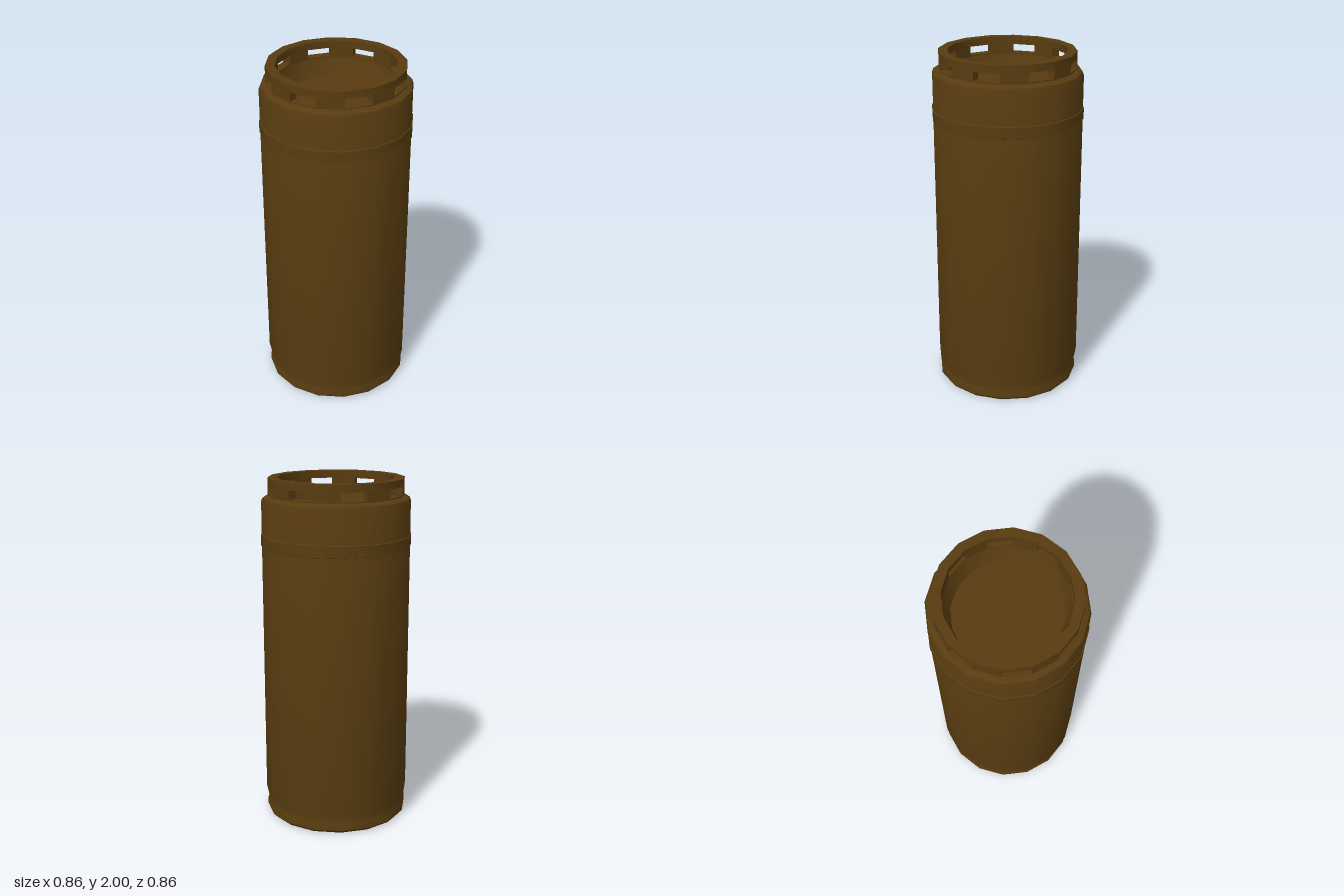
import * as THREE from 'three';
import { toCreasedNormals } from 'three/addons/utils/BufferGeometryUtils.js';

const SIDES = 16;
const STEP = (Math.PI * 2) / SIDES;
const RING_IN = 0.335, RING_OUT = 0.387;

// Turned part from [radius, height] pairs, listed outward and up
function turned(points) {
  const profile = points.map(([r, y]) => new THREE.Vector2(r, y));
  return toCreasedNormals(new THREE.LatheGeometry(profile, SIDES), 0.6);
}

// Wedge block of the collar spanning one side of the polygon
function wedge(start, y0, y1) {
  const at = (r, a) => new THREE.Vector2(r * Math.sin(a), -r * Math.cos(a));
  const end = start + STEP;
  const shape = new THREE.Shape([at(RING_IN, start), at(RING_OUT, start), at(RING_OUT, end), at(RING_IN, end)]);
  const geometry = new THREE.ExtrudeGeometry(shape, { depth: y1 - y0, bevelEnabled: false });
  return geometry.rotateX(-Math.PI / 2).translate(0, y0, 0);
}

export function createModel() {
  const model = new THREE.Group();
  model.name = 'keg';
  const brown = new THREE.MeshStandardMaterial({ color: 0x583c10 });
  brown.name = 'brown';

  const add = (name, geometry, parent = model) => {
    const mesh = new THREE.Mesh(geometry, brown);
    mesh.name = name;
    parent.add(mesh);
  };

  // Body with hollow base, foot rim, rounded shoulder and sunken lid
  add('body', turned([
    [0, 0.08], [0.29, 0.08], [0.345, 0.035], [0.36, 0],
    [0.405, 0], [0.418, 0.015], [0.418, 0.05], [0.412, 0.07],
    [0.425, 0.135], [0.425, 1.865], [0.418, 1.885], [0.395, 1.9],
    [RING_IN, 1.9], [0.318, 1.84], [0.298, 1.8], [0, 1.8],
  ]));

  // Raised band around the upper body
  add('band', turned([[0.42, 1.61], [0.43, 1.615], [0.43, 1.678], [0.42, 1.685]]));

  // Collar: top ring carried by posts, with eight hand openings between them
  const collar = new THREE.Group();
  collar.name = 'collar';
  model.add(collar);
  add('topRing', turned([
    [RING_IN, 1.957], [RING_OUT, 1.957], [RING_OUT, 2], [RING_IN, 2], [RING_IN, 1.957],
  ]), collar);
  for (let i = 1; i < SIDES; i += 2) {
    add('collarPost', wedge(i * STEP, 1.895, 1.957), collar);
  }
  add('collarBase', turned([
    [RING_OUT, 1.895], [RING_OUT, 1.908], [RING_IN, 1.908], [RING_IN, 1.895],
  ]), collar);

  return model;
}
